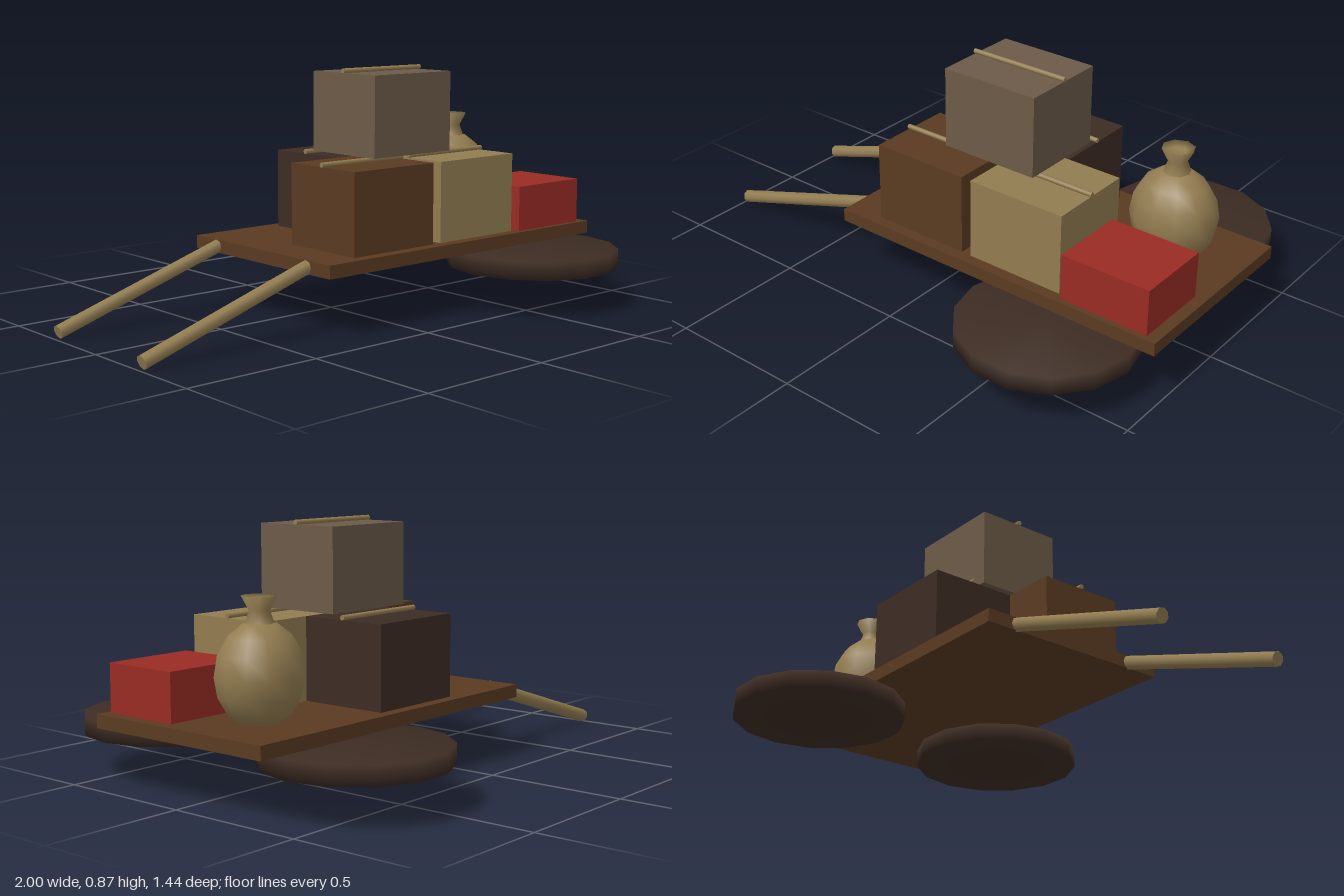
import * as THREE from 'three';
import { mergeVertices } from 'three/addons/utils/BufferGeometryUtils.js';

const mat = (name, color, side = THREE.FrontSide) => {
  const m = new THREE.MeshStandardMaterial({ color, side });
  m.name = name;
  return m;
};

export function createModel() {
  const cart = new THREE.Group();
  cart.name = 'handcart';
  const brown = mat('brown wood', 0x5a3a21);
  const dark = mat('dark wood', 0x3d2c23);
  const tan = mat('tan', 0x927c50, THREE.DoubleSide);
  const grey = mat('grey brown', 0x6c5a48);
  const red = mat('red', 0x992b24);

  const add = (name, geometry, material, x, y, z) => {
    const mesh = new THREE.Mesh(geometry, material);
    mesh.name = name;
    mesh.position.set(x, y, z);
    cart.add(mesh);
    return mesh;
  };
  // box from its min and max along each axis
  const box = (name, material, [x0, x1], [y0, y1], [z0, z1]) =>
    add(name, new THREE.BoxGeometry(x1 - x0, y1 - y0, z1 - z0), material,
      (x0 + x1) / 2, (y0 + y1) / 2, (z0 + z1) / 2);
  // shared vertices give soft shading across the rims
  const soften = (g) => {
    g.deleteAttribute('uv');
    g.deleteAttribute('normal');
    const merged = mergeVertices(g);
    merged.computeVertexNormals();
    return merged;
  };

  // flat bed
  box('bed', brown, [-0.33, 1], [0.213, 0.26], [-0.372, 0.372]);

  // wheels lying flat under the bed, and the pull handles
  for (const s of [1, -1]) {
    const side = s > 0 ? 'left' : 'right';
    const wheel = soften(new THREE.CylinderGeometry(0.315, 0.315, 0.065, 14));
    wheel.rotateY(Math.PI / 2);
    add(side + 'Wheel', wheel, dark, 0.623, 0.18, s * 0.415);

    const from = new THREE.Vector3(-0.99, 0.027, s * 0.25);
    const to = new THREE.Vector3(-0.325, 0.237, s * 0.25);
    const dir = to.clone().sub(from);
    const mid = from.clone().add(to).multiplyScalar(0.5);
    const handle = add(side + 'Handle',
      new THREE.CylinderGeometry(0.025, 0.025, dir.length(), 8), tan, mid.x, mid.y, mid.z);
    handle.quaternion.setFromUnitVectors(new THREE.Vector3(0, 1, 0), dir.normalize());
  }

  // tied crates, each with a cord over the lid
  const crates = [
    ['brownCrate', brown, -0.185, 0.26, 0],
    ['tanCrate', tan, 0.228, 0.26, 0],
    ['darkCrate', dark, 0.02, 0.26, -0.33],
    ['topCrate', grey, 0.02, 0.568, -0.122],
  ];
  for (const [name, material, x, y, z] of crates) {
    box(name, material, [x, x + 0.375], [y, y + 0.292], [z, z + 0.33]);
    const cord = add(name + 'Cord', new THREE.CylinderGeometry(0.009, 0.009, 0.383, 8), tan,
      x + 0.1875, y + 0.3, z + 0.165);
    cord.rotation.z = Math.PI / 2;
  }
  box('redBox', red, [0.622, 0.957], [0.26, 0.427], [0.062, 0.352]);

  // sack with a tied, flared neck
  const sack = new THREE.SphereGeometry(1, 12, 8);
  sack.scale(0.157, 0.175, 0.139);
  add('sack', sack, tan, 0.747, 0.412, -0.125);
  const neck = [[0.05, 0.57], [0.033, 0.615], [0.058, 0.663], [0.03, 0.65], [0, 0.648]]
    .map(([r, y]) => new THREE.Vector2(r, y));
  add('sackNeck', new THREE.LatheGeometry(neck, 8), tan, 0.747, 0, -0.125);

  return cart;
}
